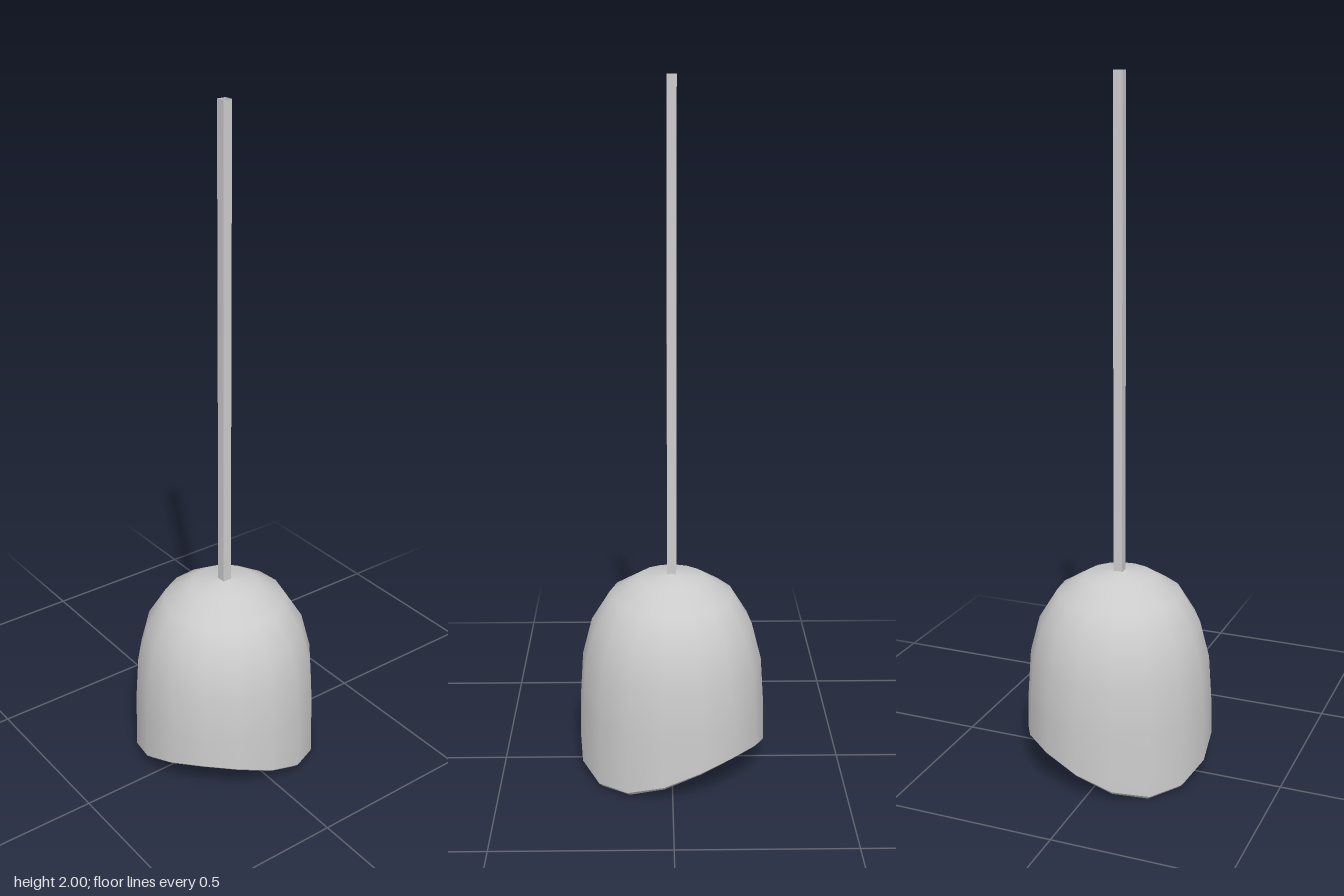
import * as THREE from 'three';

const SIDES = 16;
const TURN = -0.091; // small twist of the facets about the vertical axis

// Saddle-shaped wave of the rim: high where x and z share a sign
const wave = (x, z) => 0.104 * x * z / (x * x + z * z);

// Revolves a profile; points flagged as rim follow the wave
function revolve(name, profile, material) {
  const geometry = new THREE.LatheGeometry(
    profile.map(([r, y]) => new THREE.Vector2(r, y)), SIDES, TURN);
  const pos = geometry.attributes.position;
  for (let i = 0; i < pos.count; i++) {
    if (profile[i % profile.length][2]) {
      pos.setY(i, pos.getY(i) + wave(pos.getX(i), pos.getZ(i)));
    }
  }
  const mesh = new THREE.Mesh(geometry, material);
  mesh.name = name;
  return mesh;
}

export function createModel() {
  const model = new THREE.Group();
  model.name = 'pendantLamp';
  const grey = new THREE.MeshStandardMaterial({ color: 0xcccccc });

  // Shade: outer skin, inner skin and the bevelled rim between them
  const outer = [
    [0.276, 0.064, true], [0.273, 0.2], [0.264, 0.335], [0.236, 0.445],
    [0.182, 0.533], [0.1, 0.584], [0, 0.6],
  ];
  const inner = [
    [0, 0.587], [0.095, 0.572], [0.172, 0.523], [0.224, 0.439],
    [0.251, 0.332], [0.26, 0.2], [0.263, 0.052, true],
  ];
  const shade = new THREE.Group();
  shade.name = 'shade';
  shade.add(
    revolve('shadeOuter', outer, grey),
    revolve('shadeInner', inner, grey),
    revolve('shadeRim', [inner[inner.length - 1], outer[0]], grey),
  );
  model.add(shade);

  // Hanging rod: square tube with open ends
  const rodGeometry = new THREE.CylinderGeometry(0.019, 0.019, 1.405, 4, 1, true);
  rodGeometry.rotateY(Math.PI / 4);
  const rod = new THREE.Mesh(rodGeometry, new THREE.MeshStandardMaterial({
    color: 0xcccccc, flatShading: true, side: THREE.DoubleSide,
  }));
  rod.name = 'rod';
  rod.position.y = 2 - 1.405 / 2;
  model.add(rod);

  return model;
}
